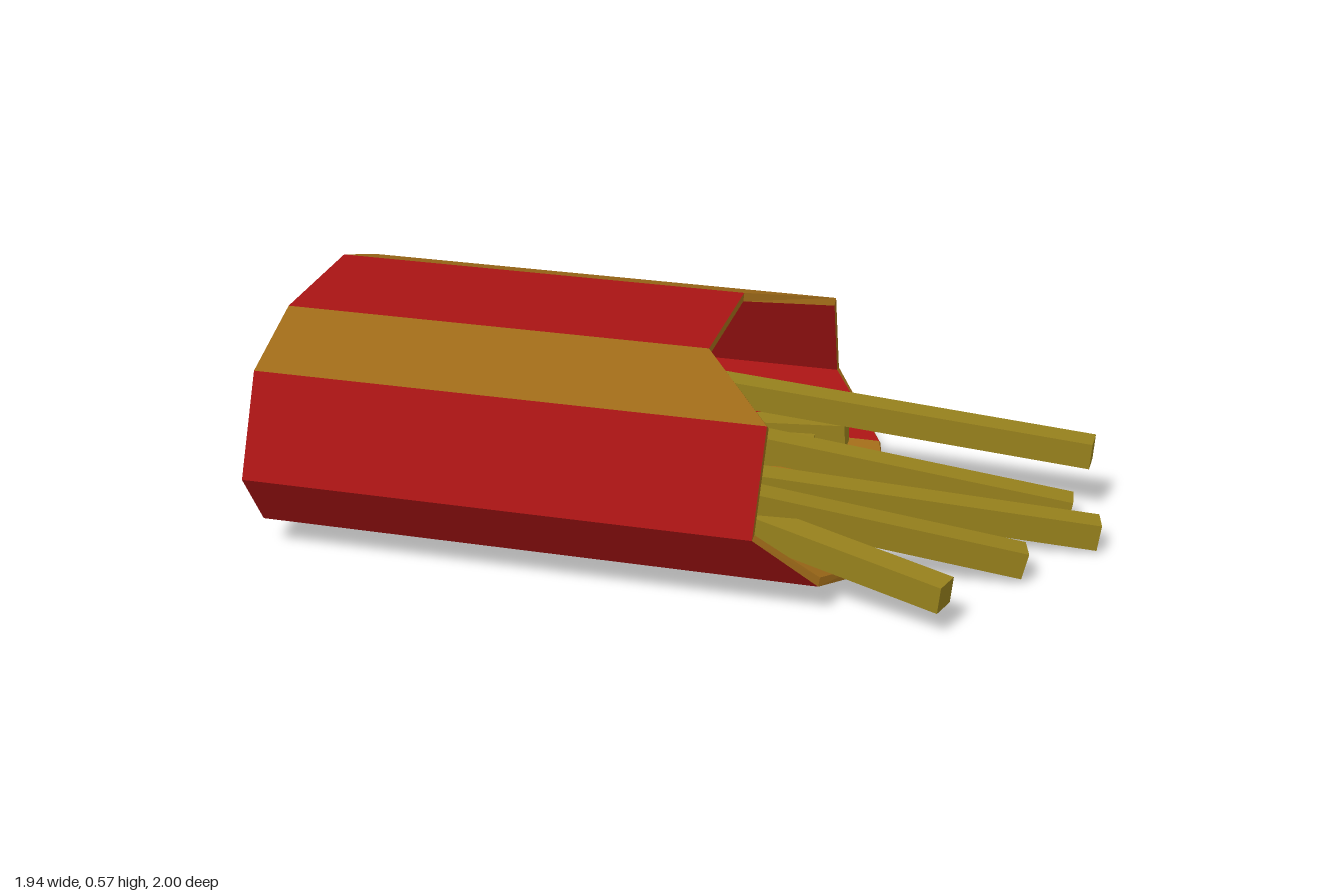
import * as THREE from 'three';

const red = new THREE.MeshStandardMaterial({ color: 0xa81414 });
const gold = new THREE.MeshStandardMaterial({ color: 0x9e6a18 });
const fryColor = new THREE.MeshStandardMaterial({ color: 0x96801c });

const BACK = -0.857, DENT = 0.085, MID_Y = 0.26;

// Right half of the carton section, bottom to top: half width, height, front edge
const half = [
  [0.195, 0.02, 0.64],
  [0.432, 0.10, 0.577],
  [0.546, 0.26, 0.436],
  [0.432, 0.507, 0.442],
  [0.195, 0.59, 0.244],
];
// Full section, counterclockwise from the front
const section = [...half, ...half.slice().reverse().map(([x, y, z]) => [-x, y, z])];

// Flat-shaded mesh from a list of quads
function quadMesh(name, material, quads) {
  const positions = [];
  for (const [a, b, c, d] of quads) positions.push(...a, ...b, ...c, ...a, ...c, ...d);
  const geometry = new THREE.BufferGeometry();
  geometry.setAttribute('position', new THREE.Float32BufferAttribute(positions, 3));
  geometry.computeVertexNormals();
  const mesh = new THREE.Mesh(geometry, material);
  mesh.name = name;
  return mesh;
}

function createCarton() {
  const carton = new THREE.Group();
  carton.name = 'carton';
  const redQuads = [], goldQuads = [], rimQuads = [], baseQuads = [];
  const inset = ([x, y]) => [x * 0.952, 0.305 + (y - 0.305) * 0.93];

  section.forEach((p, i) => {
    const q = section[(i + 1) % section.length];
    const pi = inset(p), qi = inset(q);
    const strip = i % 5 === 0 || i % 5 === 3 ? goldQuads : redQuads;
    const at = (s, z) => [s[0], s[1], z];

    // Outer and inner wall of this strip, and its piece of the rim
    const wall = i === 4 || i === 9 ? redQuads : strip;
    wall.push([at(p, BACK), at(q, BACK), at(q, q[2]), at(p, p[2])]);
    wall.push([at(qi, BACK + 0.03), at(pi, BACK + 0.03), at(pi, p[2]), at(qi, q[2])]);
    rimQuads.push([at(p, p[2]), at(q, q[2]), at(qi, q[2]), at(pi, p[2])]);

    // Base folded inwards along a short horizontal crease
    const crease = (s, extra) => [Math.sign(s[0]) * 0.195, MID_Y, BACK + DENT + extra];
    baseQuads.push([at(q, BACK), at(p, BACK), crease(p, 0), crease(q, 0)]);
    baseQuads.push([at(pi, BACK + 0.03), at(qi, BACK + 0.03), crease(q, 0.03), crease(p, 0.03)]);
  });

  carton.add(
    quadMesh('redStrips', red, redQuads),
    quadMesh('goldStrips', gold, goldQuads),
    quadMesh('rim', gold, rimQuads),
    quadMesh('base', red, baseQuads),
  );
  carton.rotation.y = 0.649;
  carton.position.set(-0.018, 0, 0.013);
  return carton;
}

// Square stick between two points
function createFry(from, to, size = 0.07) {
  const a = new THREE.Vector3(...from), b = new THREE.Vector3(...to);
  const fry = new THREE.Mesh(new THREE.BoxGeometry(size, size, a.distanceTo(b)), fryColor);
  fry.position.copy(a).add(b).multiplyScalar(0.5);
  fry.lookAt(b);
  fry.name = 'fry';
  return fry;
}

export function createModel() {
  const model = new THREE.Group();
  model.name = 'spilledFries';
  model.add(createCarton());

  const fries = new THREE.Group();
  fries.name = 'fries';
  const ends = [
    // Long fries spilling out
    [[-0.17, 0.22, 0.05], [0.17, 0.12, 0.98]],
    [[-0.25, 0.30, 0.28], [0.52, 0.07, 0.90]],
    [[0.0, 0.20, 0.19], [0.79, 0.065, 0.90]],
    [[0.15, 0.21, -0.02], [0.85, 0.055, 0.75]],
    [[0.34, 0.25, -0.10], [0.935, 0.19, 0.735]],
    // Fries still inside
    [[-0.115, 0.09, -0.66], [0.57, 0.15, 0.19]],
    [[-0.20, 0.10, -0.60], [0.45, 0.13, 0.19]],
    [[-0.33, 0.10, -0.55], [0.29, 0.09, 0.25]],
    [[-0.50, 0.10, -0.42], [0.08, 0.12, 0.37]],
    [[-0.60, 0.13, -0.38], [-0.02, 0.19, 0.40]],
  ];
  for (const [from, to] of ends) fries.add(createFry(from, to));
  model.add(fries);
  return model;
}
